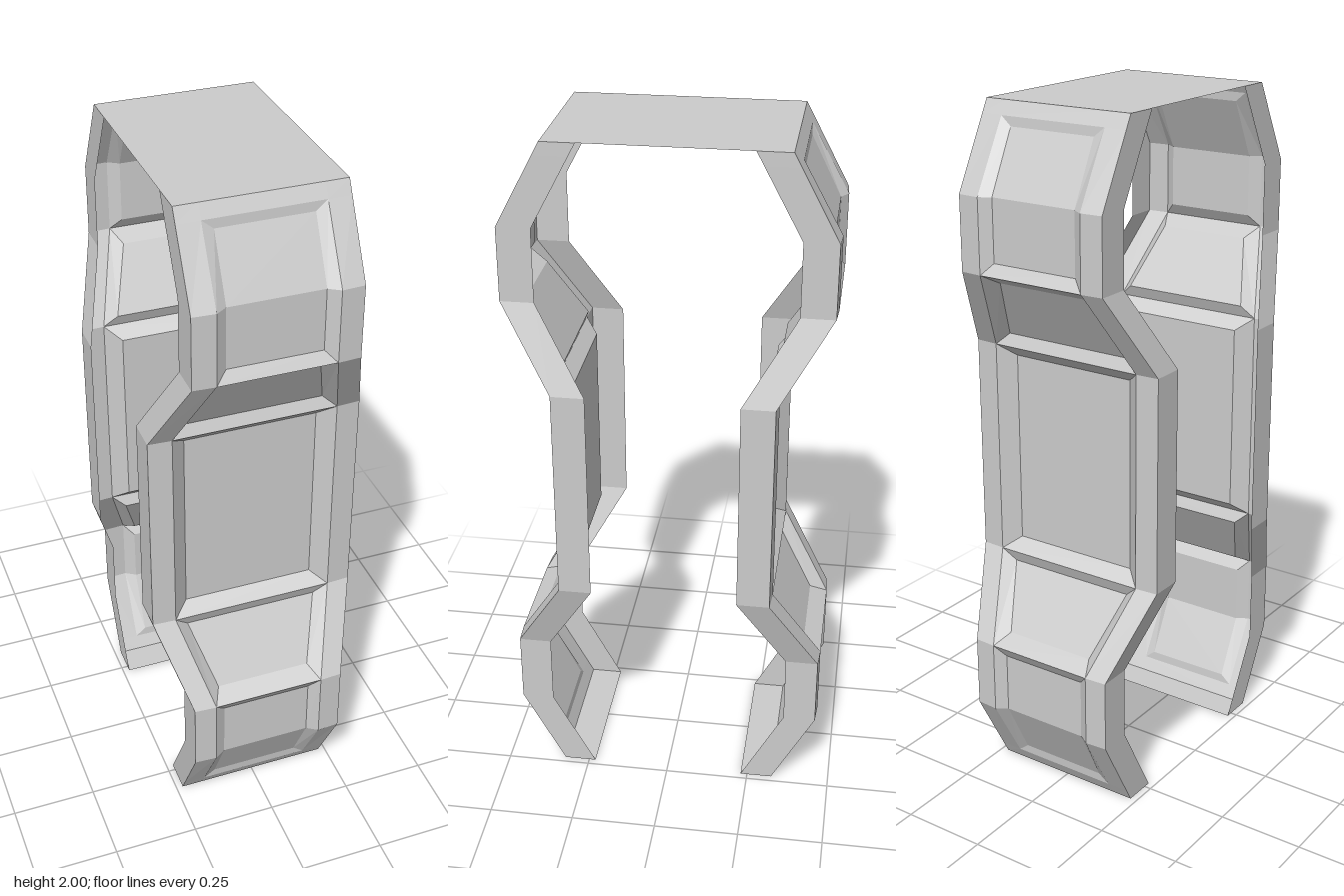
import * as THREE from 'three';

const THICK = 0.095;      // width of the side rims, front to back

// Half profile of a band, mirrored about y = 1
const KNOTS = [0, 0.235, 0.445, 0.685, 1];
const EDGE = { x: [0.23, 0.23, 0.23, 0.305, 0.305], z: [0.325, 0.451, 0.451, 0.307, 0.307] };
const OPENING = { x: [0.165, 0.165, 0.165, 0.237, 0.237], z: [0.325, 0.455, 0.455, 0.311, 0.311] };

function sample(values, y) {
  const t = Math.min(y, 2 - y);
  let i = 0;
  while (i < KNOTS.length - 2 && t > KNOTS[i + 1]) i++;
  return THREE.MathUtils.mapLinear(t, KNOTS[i], KNOTS[i + 1], values[i], values[i + 1]);
}

// Recessed panels from bottom to top: rows of the opening, then rows, half widths and depths of the floor
const lower = [
  { open: [0.038, 0.235, 0.445], floor: [0.064, 0.235, 0.412], half: [0.133, 0.133, 0.133], depth: [0.012, 0.021, 0.021] },
  { open: [0.445, 0.685], floor: [0.474, 0.65], half: [0.14, 0.197], depth: [0.035, 0.035] },
];
const middle = { open: [0.685, 1.315], floor: [0.72, 1.28], half: [0.192, 0.192], depth: [0.038, 0.038] };
const upper = lower.map((p) => ({
  open: p.open.map((y) => 2 - y).reverse(),
  floor: p.floor.map((y) => 2 - y).reverse(),
  half: [...p.half].reverse(),
  depth: [...p.depth].reverse(),
}));
const PANELS = [...lower, middle, ...upper];
const ROWS = [0, 0.038, 0.235, 0.445, 0.685, 1.315, 1.555, 1.765, 1.962, 2];

// A line of points up the band, on the left (1) or right (-1) side
const rail = (ys, line, side, back = 0) =>
  ys.map((y) => [side * sample(line.x, y), y, sample(line.z, y) - back]);

function meshFrom(name, build, material) {
  const positions = [];
  // Quads between two rails, both listed from bottom to top
  build((a, b) => {
    for (let i = 0; i < a.length - 1; i++) {
      const q = [a[i], b[i], b[i + 1], a[i + 1]];
      for (const k of [0, 1, 2, 0, 2, 3]) positions.push(...q[k]);
    }
  });
  const geometry = new THREE.BufferGeometry();
  geometry.setAttribute('position', new THREE.Float32BufferAttribute(positions, 3));
  geometry.computeVertexNormals();
  const mesh = new THREE.Mesh(geometry, material);
  mesh.name = name;
  return mesh;
}

// Side borders and the margins at both ends
function buildBorder(strip) {
  strip(rail(ROWS, EDGE, -1), rail(ROWS, OPENING, -1));
  strip(rail(ROWS, OPENING, 1), rail(ROWS, EDGE, 1));
  for (const ys of [[0, 0.038], [1.962, 2]]) strip(rail(ys, OPENING, -1), rail(ys, OPENING, 1));
}

// Floor and four bevels of one panel, which bulges through to the hollow inside
function buildPanel(strip, { open, floor, half, depth }) {
  const openL = rail(open, OPENING, -1);
  const openR = rail(open, OPENING, 1);
  const floorRail = (side) => floor.map((y, i) => [side * half[i], y, sample(OPENING.z, y) - depth[i]]);
  const floorL = floorRail(-1);
  const floorR = floorRail(1);
  const n = open.length - 1;
  strip(floorL, floorR);
  strip(openL, floorL);
  strip(floorR, openR);
  strip([openL[0], floorL[0]], [openR[0], floorR[0]]);
  strip([floorL[n], openL[n]], [floorR[n], openR[n]]);
}

// Side rims and bottom end, leaving the inside open
function buildRim(strip) {
  strip(rail(ROWS, EDGE, 1), rail(ROWS, EDGE, 1, THICK));
  strip(rail(ROWS, EDGE, -1, THICK), rail(ROWS, EDGE, -1));
  const [x, z] = [EDGE.x[0], EDGE.z[0]];
  strip([[-x, 0, z - THICK], [-x, 0, z]], [[x, 0, z - THICK], [x, 0, z]]);
}

export function createModel() {
  const model = new THREE.Group();
  model.name = 'bandedFrame';
  const material = new THREE.MeshStandardMaterial({
    color: 0xcccccc, flatShading: true, side: THREE.DoubleSide,
  });

  // Front and back bands
  for (const [name, turn] of [['frontBand', 0], ['backBand', Math.PI]]) {
    const band = new THREE.Group();
    band.name = name;
    band.add(meshFrom('border', buildBorder, material), meshFrom('rim', buildRim, material));
    for (const panel of PANELS) {
      band.add(meshFrom('recessedPanel', (strip) => buildPanel(strip, panel), material));
    }
    band.rotation.y = turn;
    model.add(band);
  }

  // Thin plate joining the bands at the top
  const plate = new THREE.Mesh(new THREE.PlaneGeometry(2 * EDGE.x[0], 2 * EDGE.z[0]), material);
  plate.name = 'topPlate';
  plate.rotation.x = -Math.PI / 2;
  plate.position.y = 2;
  model.add(plate);

  return model;
}
